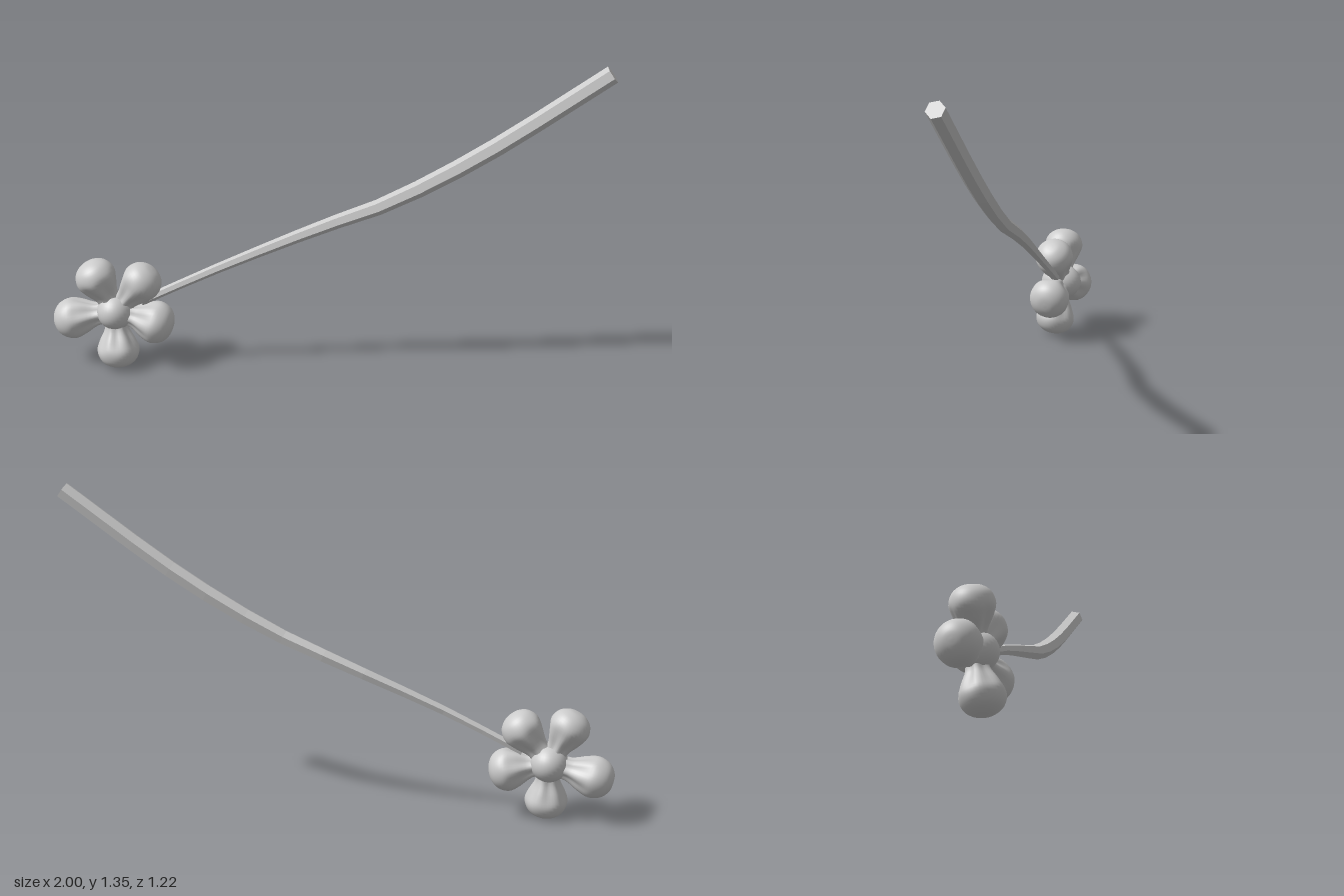
import * as THREE from 'three';
import { mergeVertices } from 'three/addons/utils/BufferGeometryUtils.js';

const V = (x, y, z) => new THREE.Vector3(x, y, z);
const smooth = new THREE.MeshStandardMaterial({ color: 0xcccccc });
const flat = new THREE.MeshStandardMaterial({ color: 0xcccccc, flatShading: true });
const CENTRE = V(-0.765, 0.245, -0.425);

function addMesh(parent, name, geometry, material) {
  const mesh = new THREE.Mesh(geometry, material);
  mesh.name = name;
  parent.add(mesh);
  return mesh;
}

// Six-sided stem, thinner toward the flower, closed at its free end
function createStem() {
  const curve = new THREE.CatmullRomCurve3([
    V(-0.67, 0.29, -0.37), V(-0.4, 0.445, -0.215), V(0, 0.645, -0.005), V(0.2, 0.745, 0.12),
    V(0.4, 0.87, 0.235), V(0.6, 1.015, 0.35), V(0.967, 1.32, 0.567),
  ]);
  const steps = 12, sides = 6;
  const geo = new THREE.TubeGeometry(curve, steps, 1, sides);
  const pos = geo.attributes.position;
  const p = V(0, 0, 0);
  for (let i = 0; i <= steps; i++) {
    const t = i / steps;
    const c = curve.getPointAt(t);
    const r = THREE.MathUtils.lerp(0.018, 0.037, THREE.MathUtils.smoothstep(t, 0, 0.75));
    for (let j = 0; j <= sides; j++) {
      const k = i * (sides + 1) + j;
      p.fromBufferAttribute(pos, k).sub(c).multiplyScalar(r).add(c);
      pos.setXYZ(k, p.x, p.y, p.z);
    }
  }
  const group = new THREE.Group();
  group.name = 'stem';
  addMesh(group, 'stemShaft', geo, flat);

  // end cap as a fan over the last ring
  const ring = steps * (sides + 1);
  const corners = [];
  for (let j = 0; j < sides; j++) corners.push(p.fromBufferAttribute(pos, ring + j).clone());
  const cap = new THREE.BufferGeometry().setFromPoints(corners);
  cap.setIndex([0, 1, 2, 0, 2, 3, 0, 3, 4, 0, 4, 5]);
  cap.computeVertexNormals();
  const capMaterial = flat.clone();
  capMaterial.side = THREE.DoubleSide;
  addMesh(group, 'stemEnd', cap, capMaterial);
  return group;
}

// Bulbous petal along +y: narrow creased neck at the base, round tip
function petalGeometry(length, radius) {
  const profile = new THREE.SplineCurve([
    [0, 0], [0.045, 0.01], [0.05, length * 0.3], [radius * 0.86, length * 0.52],
    [radius, length * 0.7], [radius * 0.82, length * 0.88], [radius * 0.42, length * 0.98], [0, length],
  ].map(([x, y]) => new THREE.Vector2(x, y)));
  const points = profile.getPoints(28);
  points.forEach((q) => { q.x = Math.max(q.x, 0); });
  points[points.length - 1].x = 0;
  let geo = new THREE.LatheGeometry(points, 40);
  const pos = geo.attributes.position;
  for (let i = 0; i < pos.count; i++) {
    const x = pos.getX(i), y = pos.getY(i), z = pos.getZ(i);
    const fade = 1 - THREE.MathUtils.smoothstep(y / length, 0.4, 0.8);
    const s = 1 - 0.16 * fade * (0.5 + 0.5 * Math.cos(6 * Math.atan2(x, z)));
    pos.setXYZ(i, x * s, y, z * s);
  }
  geo.deleteAttribute('uv');
  geo.deleteAttribute('normal');
  geo = mergeVertices(geo, 1e-5);
  geo.computeVertexNormals();
  return geo;
}

function createFlower() {
  const flower = new THREE.Group();
  flower.name = 'flower';
  // petal bulb centre and radius
  const petals = [
    [V(-0.83, 0.385, -0.455), 0.086],
    [V(-0.675, 0.375, -0.365), 0.085],
    [V(-0.638, 0.208, -0.335), 0.09],
    [V(-0.77, 0.092, -0.4), 0.088],
    [V(-0.912, 0.2, -0.525), 0.087],
  ];
  petals.forEach(([bulb, radius], i) => {
    const direction = bulb.clone().sub(CENTRE);
    const length = direction.length() + radius;
    const petal = addMesh(flower, 'petal' + (i + 1), petalGeometry(length, radius), smooth);
    petal.position.copy(CENTRE);
    petal.quaternion.setFromUnitVectors(V(0, 1, 0), direction.normalize());
  });

  // Rounded heart bulging out on both faces of the flower
  const heart = addMesh(flower, 'heart', new THREE.SphereGeometry(1, 32, 20), smooth);
  heart.scale.set(0.078, 0.078, 0.09);
  heart.position.copy(CENTRE);
  heart.rotation.y = -0.6;
  return flower;
}

export function createModel() {
  const model = new THREE.Group();
  model.name = 'flowerOnStem';
  model.add(createStem(), createFlower());
  return model;
}
